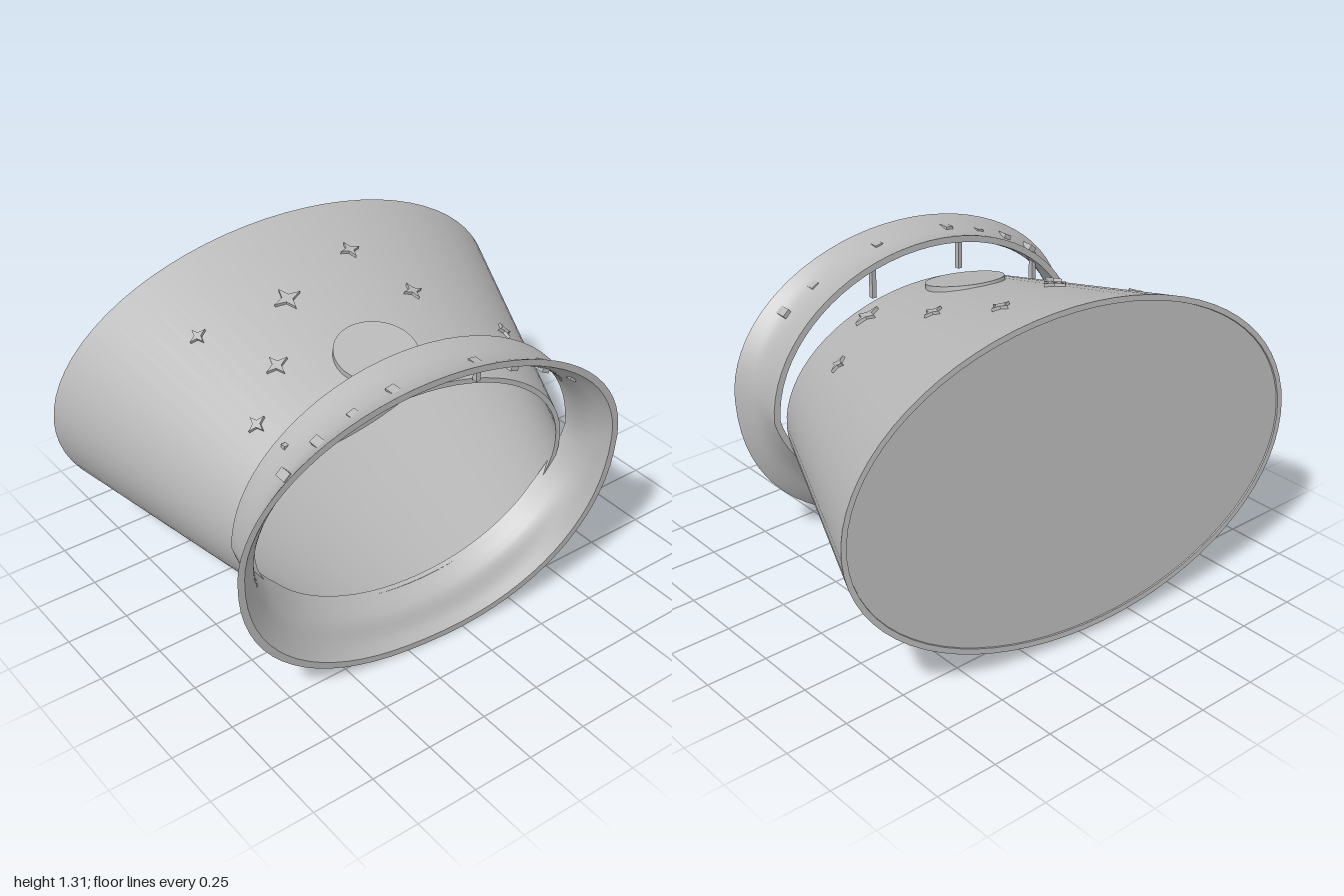
import * as THREE from 'three';

const SEG = 72;
const grey = new THREE.MeshStandardMaterial({ color: 0xb8b8b8 });
grey.name = 'plainGrey';

// Closed skin through rings of equal point count (anticlockwise seen from +z)
function loft(rings) {
  const n = rings[0].length, pos = [], idx = [];
  rings.forEach(r => r.forEach(p => pos.push(p.x, p.y, p.z)));
  for (let i = 0; i < rings.length - 1; i++) {
    for (let j = 0; j < n; j++) {
      const a = i * n + j, b = i * n + (j + 1) % n;
      idx.push(a, b, b + n, a, b + n, a + n);
    }
  }
  const g = new THREE.BufferGeometry();
  g.setAttribute('position', new THREE.Float32BufferAttribute(pos, 3));
  g.setIndex(idx);
  g.computeVertexNormals();
  return g;
}

// Tilted oval: upper half elliptical, lower half a pinched superellipse
function oval(o, inset = 0) {
  const pts = [];
  for (let j = 0; j < SEG; j++) {
    const t = j / SEG * Math.PI * 2, c = Math.cos(t), s = Math.sin(t);
    const e = s < 0 ? 2 / o.n : 1;
    const u = Math.sign(c) * Math.abs(c) ** e, v = Math.sign(s) * Math.abs(s) ** e;
    const pinch = s < 0 ? 1 - o.pinch * Math.min(1, -2 * s) : 1;
    const x = o.cx + (o.rx - inset) * u * pinch;
    const y = o.cy + ((s < 0 ? o.bot : o.top) - inset) * v;
    pts.push(new THREE.Vector3(x, y, o.z + o.sx * (x - o.cx) + o.sy * (y - o.cy)));
  }
  return pts;
}

const ring = (cx, rx, cy, top, bot, n, pinch, z, sx, sy) => ({ cx, rx, cy, top, bot, n, pinch, z, sx, sy });
const crownBack = ring(0, 1, 0.67, 0.64, 0.64, 2, 0, -0.6, 0.088, 0.085);
const crownFront = ring(-0.14, 0.67, 0.61, 0.452, 0.455, 2, 0, 0.43, 0.09, 0.03);
const bandRings = [
  ring(-0.135, 0.73, 0.65, 0.58, 0.495, 2, 0.08, 0.41, 0.09, 0.02),
  ring(-0.148, 0.732, 0.66, 0.55, 0.555, 2.05, 0.03, 0.5, 0.09, 0.02),
  ring(-0.155, 0.745, 0.67, 0.55, 0.635, 2.15, 0.01, 0.56, 0.09, 0.05),
  ring(-0.167, 0.803, 0.68, 0.565, 0.68, 2.2, 0, 0.615, 0.0875, 0.065),
];

// Smooth rings interpolated across the flared band
function bandSkin(inset) {
  const keys = bandRings.map(o => oval(o, inset));
  const out = Array.from({ length: 11 }, () => []);
  for (let j = 0; j < SEG; j++) {
    const c = new THREE.CatmullRomCurve3(keys.map(k => k[j]));
    out.forEach((r, i) => r.push(c.getPoint(i / 10)));
  }
  return out;
}

// Height of the crown's upper surface above a plan position
function crownTop(x, z) {
  let y = 1.1;
  const plane = o => o.z + o.sx * (x - o.cx) + o.sy * (y - o.cy);
  for (let k = 0; k < 6; k++) {
    const zf = plane(crownFront), zb = plane(crownBack);
    const s = (zf - z) / (zf - zb);
    const mix = f => THREE.MathUtils.lerp(crownFront[f], crownBack[f], s);
    const u = (x - mix('cx')) / mix('rx');
    y = mix('cy') + mix('top') * Math.sqrt(Math.max(0, 1 - u * u));
  }
  return y;
}

// Seat an object (its +y outward) on the crown
function seat(mesh, x, z, lift) {
  const d = 0.02;
  const nrm = new THREE.Vector3(
    crownTop(x - d, z) - crownTop(x + d, z), 2 * d,
    crownTop(x, z - d) - crownTop(x, z + d)).normalize();
  mesh.quaternion.setFromUnitVectors(new THREE.Vector3(0, 1, 0), nrm);
  mesh.position.set(x, crownTop(x, z), z).addScaledVector(nrm, lift);
}

function starGeometry(r) {
  const s = new THREE.Shape();
  for (let i = 0; i < 8; i++) {
    const a = i * Math.PI / 4, q = i % 2 ? r * 0.36 : r;
    s[i ? 'lineTo' : 'moveTo'](q * Math.cos(a), q * Math.sin(a));
  }
  s.closePath();
  return new THREE.ExtrudeGeometry(s, { depth: 0.018, bevelEnabled: false }).rotateX(-Math.PI / 2);
}

export function createModel() {
  const model = new THREE.Group();
  model.name = 'tallHat';
  const add = (geo, name, parent = model) => {
    const m = new THREE.Mesh(geo, grey);
    m.name = name;
    parent.add(m);
    return m;
  };

  // Hollow tapered crown
  const ob = oval(crownBack), of = oval(crownFront);
  const ib = oval(crownBack, 0.022), inf = oval(crownFront, 0.02);
  add(loft([ob, of]), 'crownOuter');
  add(loft([of, inf]), 'crownMouthRim');
  add(loft([inf, ib]), 'crownLining');
  add(loft([ib, ob]), 'crownBackRim');

  // Slightly recessed closing panel
  const disc = dz => ib.map(p => new THREE.Vector3(p.x, p.y, p.z + dz));
  const hub = dz => ib.map(() => new THREE.Vector3(crownBack.cx, crownBack.cy, crownBack.z + dz));
  add(loft([hub(0.006), disc(0.006)]), 'crownPanelOutside');
  add(loft([disc(0.016), hub(0.016)]), 'crownPanelInside');

  // Flared brim band with thickness
  const outer = bandSkin(0), inner = bandSkin(0.027).reverse();
  add(loft(outer), 'brimOuter');
  add(loft([outer[10], inner[0]]), 'brimFrontRim');
  add(loft(inner), 'brimInner');
  add(loft([inner[10], outer[0]]), 'brimBackRim');

  // Small studs on the brim
  const studs = new THREE.Group();
  studs.name = 'brimStuds';
  model.add(studs);
  [[0, 1.19], [0.15, 1.145], [0.29, 1.09], [0.42, 1.01]].forEach(([x, y]) => {
    for (const px of [x, -0.33 - x]) {
      const stud = add(new THREE.BoxGeometry(0.035, 0.034, 0.05), 'stud', studs);
      const u = (px + 0.165) / 0.76;
      stud.position.set(px, y, 0.59 + 0.088 * px);
      stud.rotation.z = -Math.atan(0.72 * u / Math.sqrt(1 - u * u));
    }
  });

  // Posts joining the crown mouth to the brim
  [[-0.675, 0.985, 0.12], [-0.305, 1.13, 0.13], [0.1, 1.095, 0.12]].forEach(([x, y, h]) => {
    add(new THREE.BoxGeometry(0.02, h, 0.02), 'brimPost').position.set(x, y, 0.475 + 0.09 * x);
  });

  // Round moon plate and scattered stars
  seat(add(new THREE.CylinderGeometry(0.155, 0.155, 0.024, 48), 'moonPlate'), -0.155, 0.23, 0);
  [[-0.59, -0.26, 0.036], [-0.265, -0.16, 0.056], [0.09, -0.26, 0.042], [0.18, 0.01, 0.042],
    [-0.46, 0.055, 0.046], [-0.63, 0.175, 0.038], [0.475, 0.2, 0.038], [0.225, 0.355, 0.058],
  ].forEach(([x, z, r]) => seat(add(starGeometry(r), 'star'), x, z, -0.006));

  return model;
}
